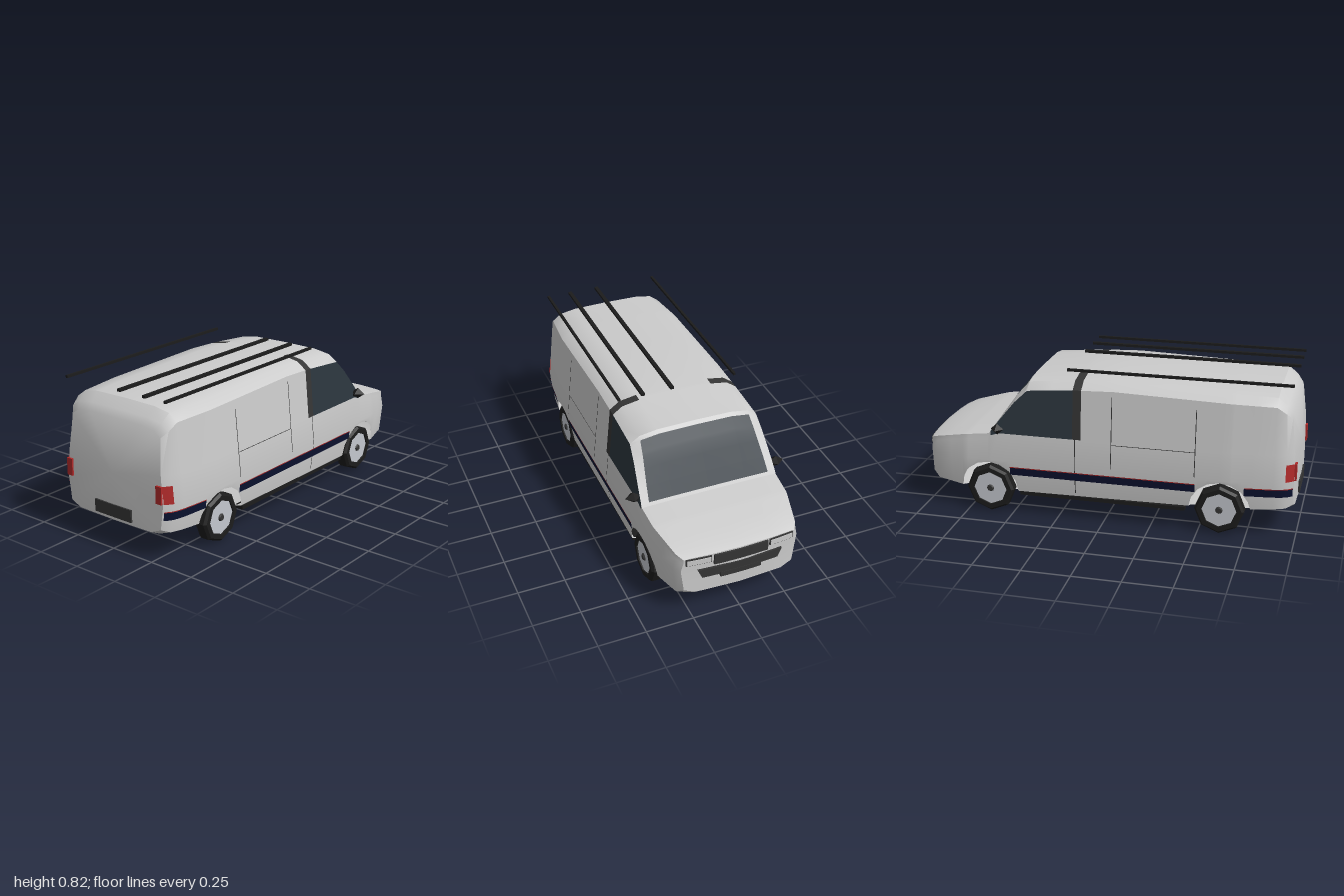
import * as THREE from 'three';
import { toCreasedNormals, mergeVertices } from 'three/addons/utils/BufferGeometryUtils.js';

const mat = (color, side = THREE.FrontSide) => new THREE.MeshStandardMaterial({ color, side });
const paint = mat(0xcccccc, THREE.DoubleSide);
const glass = mat(0x2c363e, THREE.DoubleSide);
const trim = mat(0x353535, THREE.DoubleSide);
const black = mat(0x1c1c1c, THREE.DoubleSide);
const navy = mat(0x0b1230, THREE.DoubleSide);
const red = mat(0xb02a2a, THREE.DoubleSide);
const silver = mat(0xc4c7ce);

const AXLES = [-0.61, 0.625], WHEEL_Y = 0.13, ARCH = 0.158;

// Stations along the length: x, floor height, top height, width scale
const STATIONS = [
  [-0.99, 0.15, 0.67, 0.82], [-0.95, 0.135, 0.705, 0.9], [-0.88, 0.13, 0.748, 0.94],
  [-0.66, 0.118, 0.757, 1], [-0.05, 0.11, 0.776, 1], [0.15, 0.108, 0.767, 1],
  [0.41, 0.105, 0.742, 1], [0.48, 0.105, 0.66, 1], [0.62, 0.105, 0.45, 1],
  [0.75, 0.105, 0.432, 0.985], [0.95, 0.12, 0.39, 0.87], [0.99, 0.15, 0.374, 0.8],
];

function station(x) {
  let i = 0;
  while (i < STATIONS.length - 2 && x > STATIONS[i + 1][0]) i++;
  const a = STATIONS[i], b = STATIONS[i + 1];
  const t = THREE.MathUtils.clamp((x - a[0]) / (b[0] - a[0]), 0, 1);
  return a.map((v, k) => v + (b[k] - v) * t);
}

// Half cross-section from floor centre to roof centre, as [z, y] rows
function section(x, arches) {
  const [, floor, top, s] = station(x);
  const belt = Math.min(0.45, top - 0.03), h = top - belt;
  const low = floor + 0.025;
  let sill = low;
  if (arches) for (const c of AXLES) {
    const d = ARCH * ARCH - (x - c) ** 2;
    if (d > 0) sill = Math.max(sill, WHEEL_Y + Math.sqrt(d));
  }
  return [
    [0, floor], [0.29, floor], [0.365 + 0.02 * (sill - low) / (0.3 - low), sill], [0.385, 0.3],
    [0.37, belt], [0.37 - 0.08 * h, belt + 0.82 * h], [0.33 - 0.12 * h, belt + 0.94 * h],
    [0.2, belt + 0.99 * h], [0, top],
  ].map(([z, y]) => [z * s, y]);
}

// Rounds the nose and tail in plan and leans the tail forward
function bend(x, y, z) {
  if (x > 0.8) x -= 0.22 * z * z * (x - 0.8) / 0.19;
  if (x < -0.9) x += (0.1 * z * z + Math.max(0, y - 0.42) * 0.12) * (-0.9 - x) / 0.09;
  return [x, y, z];
}

function halfWidth(x, y) {
  const p = section(x, false);
  for (let i = 1; i < 8; i++) {
    if (y <= p[i + 1][1]) {
      const t = (y - p[i][1]) / (p[i + 1][1] - p[i][1]);
      return p[i][0] + (p[i + 1][0] - p[i][0]) * Math.max(0, t);
    }
  }
  return 0;
}

// Body shell: one loft, its faces sorted into paint, glass and pillar trim
function buildShell(group) {
  let xs = STATIONS.map(s => s[0]).concat([0.12, 0.165, 0.425, 0.61, -0.35, 0.28, 0.85]);
  for (const c of AXLES) for (let k = 0; k <= 8; k++) xs.push(c + ARCH * Math.cos(k * Math.PI / 8));
  xs = xs.sort((a, b) => a - b).filter((x, i, l) => i === 0 || x - l[i - 1] > 0.003);
  const pos = [], N = 16;
  for (const x of xs) {
    const half = section(x, true);
    for (let j = 0; j < N; j++) {
      const [z, y] = half[j <= 8 ? j : N - j];
      pos.push(...bend(x, y, j <= 8 ? z : -z));
    }
  }
  const faces = { body: [], windscreen: [], sideWindows: [], doorPillars: [] };
  for (let i = 0; i < xs.length - 1; i++) {
    const m = (xs[i] + xs[i + 1]) / 2;
    for (let j = 0; j < N; j++) {
      const row = j < 8 ? j : 15 - j;
      if (row === 1 && AXLES.some(c => Math.abs(m - c) < ARCH)) continue;
      let part = 'body';
      if (row >= 6 && m > 0.425 && m < 0.61) part = 'windscreen';
      if (row === 4 && m > 0.165 && m < 0.61) part = 'sideWindows';
      if (row >= 4 && row <= 6 && m > 0.12 && m < 0.165) part = 'doorPillars';
      const k = (j + 1) % N, a = i * N + j, b = a + N, c = (i + 1) * N + k, d = i * N + k;
      faces[part].push(a, b, c, a, c, d);
    }
  }
  // Nose and tail caps
  const last = (xs.length - 1) * N, tail = pos.length / 3;
  pos.push(-0.992, 0.4, 0, 0.992, 0.26, 0);
  for (let j = 0; j < N; j++) {
    const k = (j + 1) % N;
    faces.body.push(tail, j, k, tail + 1, last + k, last + j);
  }
  const mats = { body: paint, windscreen: glass, sideWindows: glass, doorPillars: trim };
  for (const name in faces) {
    const g = new THREE.BufferGeometry();
    g.setAttribute('position', new THREE.Float32BufferAttribute(pos, 3));
    g.setIndex(faces[name]);
    add(group, name, toCreasedNormals(g, 0.6), mats[name]);
  }
}

function add(group, name, geometry, material, x = 0, y = 0, z = 0) {
  const mesh = new THREE.Mesh(geometry, material);
  mesh.name = name;
  mesh.position.set(x, y, z);
  group.add(mesh);
  return mesh;
}

// Thin panel lying on the body side
function sidePanel(group, name, x0, x1, y0, y1, side, material, lift = 0.003) {
  const nx = Math.ceil((x1 - x0) / 0.03), ny = Math.ceil((y1 - y0) / 0.03);
  const g = new THREE.PlaneGeometry(x1 - x0, y1 - y0, nx, ny);
  g.translate((x0 + x1) / 2, (y0 + y1) / 2, 0);
  const p = g.attributes.position;
  for (let i = 0; i < p.count; i++) {
    const x = p.getX(i), y = p.getY(i);
    p.setXYZ(i, ...bend(x, y, side * (halfWidth(x, y) + lift)));
  }
  g.computeVertexNormals();
  add(group, name, g, material);
}

// Flat shape on the nose, curved to follow it; points are [z, y]
function nosePanel(group, name, x, z0, z1, y0, y1, material, inset = 0) {
  const g = new THREE.BoxGeometry(0.012, y1 - y0, z1 - z0, 1, 1, 8);
  g.translate(x, (y0 + y1) / 2, (z0 + z1) / 2);
  const p = g.attributes.position, mid = (z0 + z1) / 2;
  for (let i = 0; i < p.count; i++) {
    let z = p.getZ(i);
    if (p.getY(i) < (y0 + y1) / 2) z = mid + (z - mid) * (1 - inset);
    p.setXYZ(i, p.getX(i) - 0.22 * z * z, p.getY(i), z);
  }
  g.computeVertexNormals();
  add(group, name, g, material);
}

function buildWheel(group, x, side) {
  const wheel = new THREE.Group();
  wheel.name = 'wheel';
  const profile = [[0.05, -0.038], [0.118, -0.038], [0.13, -0.02], [0.13, 0.025], [0.118, 0.038], [0.092, 0.038], [0.088, 0.02]];
  const tyre = new THREE.LatheGeometry(profile.map(([r, y]) => new THREE.Vector2(r, y)), 8);
  tyre.deleteAttribute('uv');
  tyre.deleteAttribute('normal');
  add(wheel, 'tyre', toCreasedNormals(mergeVertices(tyre), 0.5), black);
  add(wheel, 'rim', new THREE.CylinderGeometry(0.093, 0.093, 0.05, 16), silver, 0, 0.006, 0);
  add(wheel, 'hubCap', new THREE.CylinderGeometry(0.015, 0.022, 0.012, 8), trim, 0, 0.034, 0);
  wheel.rotation.x = side * Math.PI / 2;
  wheel.position.set(x, WHEEL_Y, side * 0.331);
  group.add(wheel);
}

export function createModel() {
  const van = new THREE.Group();
  van.name = 'van';
  buildShell(van);

  for (const side of [1, -1]) {
    for (const x of AXLES) buildWheel(van, x, side);
    // Side stripe with its thin red upper line, broken at the rear wheel arch
    for (const [a, b] of [[-0.985, -0.735], [-0.485, 0.505]]) {
      sidePanel(van, 'stripe', a, b, 0.225, 0.266, side, navy);
      sidePanel(van, 'stripeEdge', a, b, 0.266, 0.271, side, red);
    }
    // Door seams
    for (const [a, b, c, d] of [[-0.483, -0.479, 0.31, 0.66], [-0.045, -0.041, 0.31, 0.69],
      [-0.483, -0.041, 0.436, 0.439], [0.148, 0.152, 0.15, 0.45]]) {
      sidePanel(van, 'doorSeam', a, b, c, d, side, trim, 0.002);
    }
    // Tail lamps wrap round the rear corners
    sidePanel(van, 'tailLamp', -0.989, -0.945, 0.31, 0.4, side, red, 0.004);
    add(van, 'tailLampRear', new THREE.BoxGeometry(0.012, 0.09, 0.035), red, -0.984, 0.355, side * 0.296);
    add(van, 'sideSill', new THREE.BoxGeometry(0.89, 0.02, 0.045), black, 0.015, 0.116, side * 0.335);
    // Door mirror: tapered pod on a short arm
    const pod = add(van, 'doorMirror', new THREE.OctahedronGeometry(1), black, 0.565, 0.482, side * 0.393);
    pod.scale.set(0.035, 0.03, 0.042);
    add(van, 'mirrorArm', new THREE.BoxGeometry(0.025, 0.015, 0.04), black, 0.565, 0.468, side * 0.37);
    // Head lamps
    const [z0, z1] = side > 0 ? [0.155, 0.285] : [-0.285, -0.155];
    nosePanel(van, 'headLampFrame', 0.99, z0, z1, 0.33, 0.368, trim);
    nosePanel(van, 'headLamp', 0.993, z0 + 0.005, z1 - 0.005, 0.334, 0.362, paint);
  }

  // Nose and tail fittings
  nosePanel(van, 'upperGrille', 0.992, -0.145, 0.142, 0.31, 0.367, trim);
  nosePanel(van, 'lowerGrille', 0.991, -0.225, 0.225, 0.24, 0.29, trim, 0.1);
  nosePanel(van, 'frontPlate', 0.993, -0.11, 0.108, 0.222, 0.25, trim);
  add(van, 'rearPlate', new THREE.BoxGeometry(0.012, 0.065, 0.24), trim, -0.991, 0.2, 0);

  // Roof bars
  for (const z of [0.32, 0.19, 0.03, -0.32]) {
    add(van, 'roofBar', new THREE.BoxGeometry(1.155, 0.013, z > 0 && z < 0.3 ? 0.02 : 0.013), black, -0.38, 0.811, z);
  }
  return van;
}
